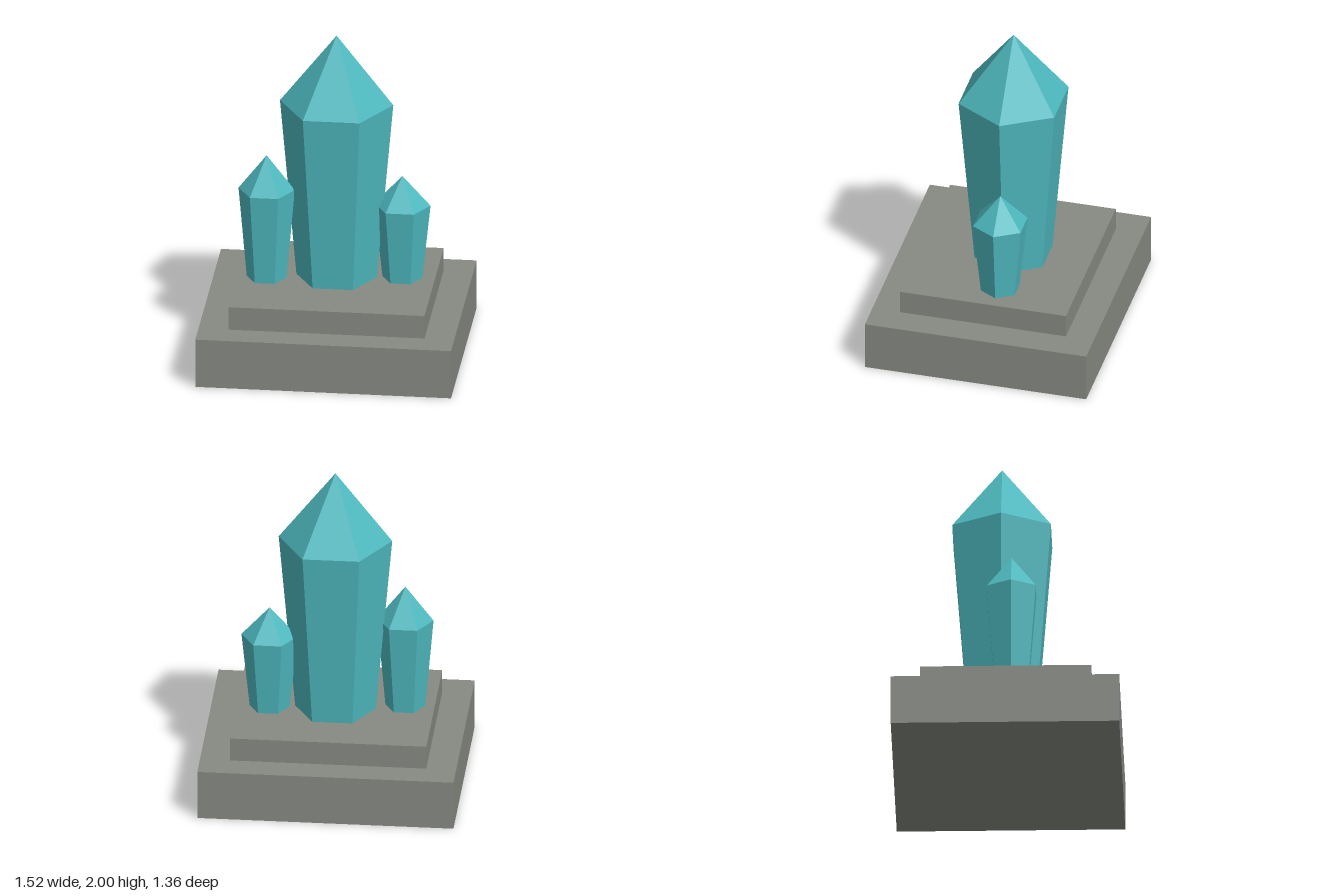
import * as THREE from 'three';
import { mergeGeometries } from 'three/addons/utils/BufferGeometryUtils.js';

const stone = new THREE.MeshStandardMaterial({ color: 0x868a82 });
stone.name = 'stone grey';
const crystal = new THREE.MeshStandardMaterial({ color: 0x4db8be });
crystal.name = 'crystal teal';

const BASE_HEIGHT = 0.305;
const FLOOR = 0.45; // top of the upper step

// Stone block standing on a given height
function slab(name, width, depth, bottom, top) {
  const mesh = new THREE.Mesh(new THREE.BoxGeometry(width, top - bottom, depth), stone);
  mesh.name = name;
  mesh.position.y = (bottom + top) / 2;
  return mesh;
}

// Six-sided shaft widening upwards, closed by a pointed tip
function makeCrystal({ name, x, z, bottomRadius, radius, shoulder, tip }) {
  const shaftHeight = shoulder - FLOOR;
  const tipHeight = tip - shoulder;
  const shaft = new THREE.CylinderGeometry(radius, bottomRadius, shaftHeight, 6, 1, true);
  shaft.translate(0, shaftHeight / 2, 0);
  const point = new THREE.ConeGeometry(radius, tipHeight, 6, 1, true);
  point.translate(0, shaftHeight + tipHeight / 2, 0);

  // Corners point along x; separate faces give flat facets
  const geometry = mergeGeometries([shaft, point]).rotateY(Math.PI / 2).toNonIndexed();
  geometry.computeVertexNormals();
  const mesh = new THREE.Mesh(geometry, crystal);
  mesh.name = name;
  mesh.position.set(x, FLOOR, z);
  return mesh;
}

export function createModel() {
  const model = new THREE.Group();
  model.name = 'crystalCluster';

  // Stepped pedestal
  model.add(
    slab('pedestalBase', 1.525, 1.355, 0, BASE_HEIGHT),
    slab('pedestalStep', 1.17, 1.015, BASE_HEIGHT, FLOOR),
  );

  // One tall crystal between two small ones
  const crystals = [
    { name: 'mainCrystal', x: 0, z: -0.034, bottomRadius: 0.24, radius: 0.338, shoulder: 1.567, tip: 2 },
    { name: 'rightCrystal', x: -0.41, z: 0.031, bottomRadius: 0.119, radius: 0.168, shoulder: 1.018, tip: 1.235 },
    { name: 'leftCrystal', x: 0.39, z: -0.054, bottomRadius: 0.119, radius: 0.168, shoulder: 0.919, tip: 1.103 },
  ];
  crystals.forEach((spec) => model.add(makeCrystal(spec)));

  return model;
}
